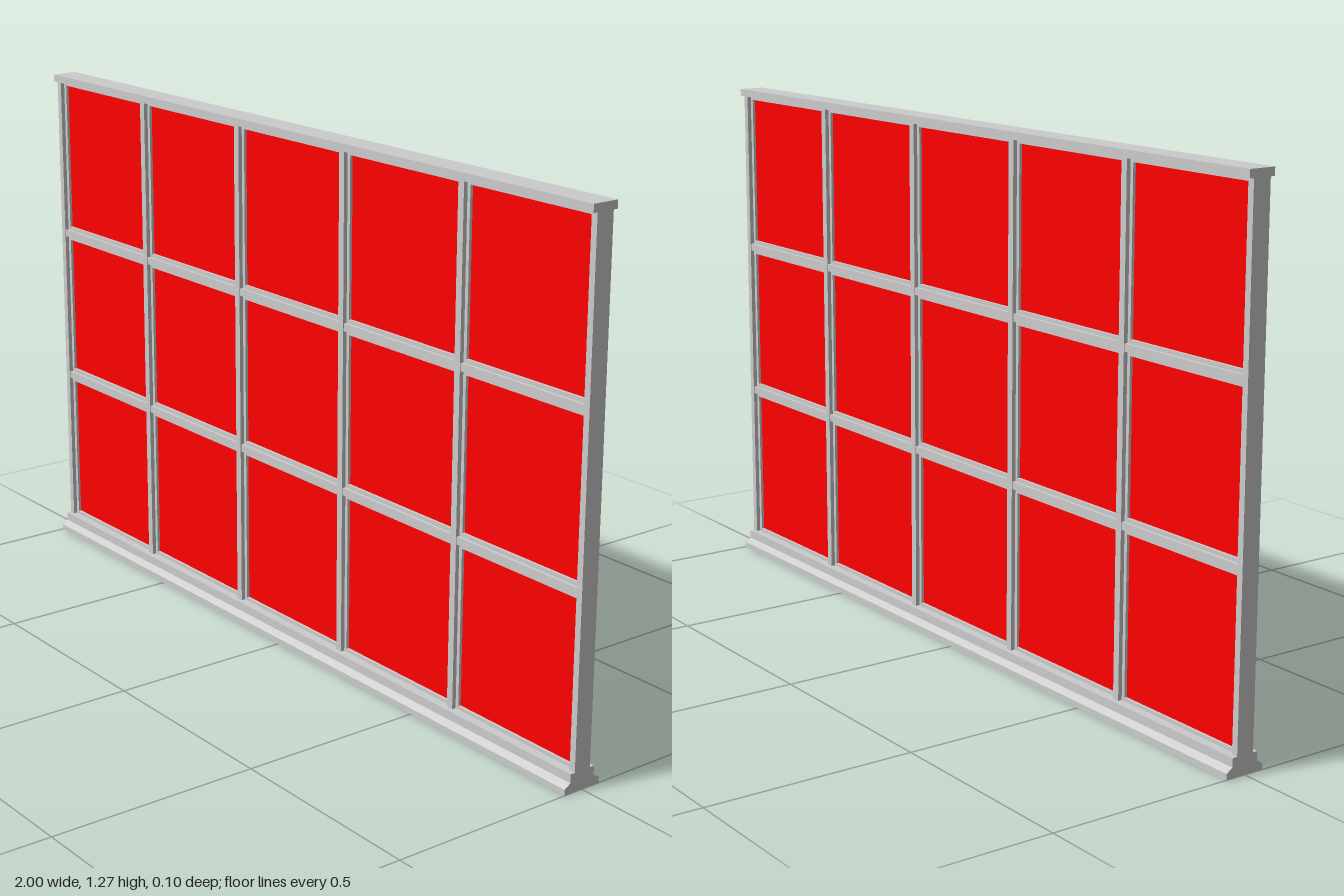
import * as THREE from 'three';

const grey = new THREE.MeshStandardMaterial({ color: 0xcccccc, flatShading: true });
const red = new THREE.MeshStandardMaterial({ color: 0xff0000, flatShading: true });

// Extrudes a closed profile and centres it along its length
function bar(name, points, length) {
  const shape = new THREE.Shape(points.map(([a, b]) => new THREE.Vector2(a, b)));
  const geo = new THREE.ExtrudeGeometry(shape, { depth: length, bevelEnabled: false });
  geo.translate(0, 0, -length / 2);
  const mesh = new THREE.Mesh(geo, grey);
  mesh.name = name;
  return mesh;
}

// Mirrors a half profile of [depth, height] points, listed from bottom to top
const mirrored = (half) => [...half, ...half.map(([d, h]) => [-d, h]).reverse()];

// Stepped glazing bar: wide glazing rebate with a narrow raised rib on both faces
const steppedBar = (wide, rib, depth) => mirrored([
  [0.012, -wide], [0.012, -rib], [depth, -rib],
  [depth, rib], [0.012, rib], [0.012, wide],
]);

export function createModel() {
  const model = new THREE.Group();
  model.name = 'panelledScreen';

  const columns = [-0.6, -0.2, 0.2, 0.6];
  const rows = [0.447, 0.842];
  const bottom = 0.035, top = 1.25;

  // Lengthwise rails: the profile's depth axis lies along z
  const addRail = (name, profile, y) => {
    const rail = bar(name, profile, 2);
    rail.rotation.y = Math.PI / 2;
    rail.position.y = y;
    model.add(rail);
    return rail;
  };

  // Sill with a sloped foot, and a flat cap with a bead below it
  addRail('bottomRail', mirrored([
    [0.05, 0], [0.05, 0.014], [0.034, 0.024], [0.034, 0.045],
    [0.012, 0.045], [0.012, 0.053],
  ]), 0);
  addRail('topRail', mirrored([
    [0.012, 1.238], [0.012, 1.246], [0.033, 1.248], [0.033, 1.266],
  ]), 0);

  // Horizontal glazing bars
  for (const y of rows) {
    const rail = addRail('horizontalBar', steppedBar(0.018, 0.009, 0.02), y);
    rail.scale.z = 0.985;
  }

  // Vertical glazing bars
  for (const x of columns) {
    const post = bar('verticalBar', steppedBar(0.018, 0.009, 0.022), top - bottom);
    post.rotation.set(-Math.PI / 2, 0, Math.PI / 2);
    post.position.set(x, (top + bottom) / 2, 0);
    model.add(post);
  }

  // End posts with an inward rebate
  for (const side of [-1, 1]) {
    const post = new THREE.Group();
    post.name = side > 0 ? 'leftEndPost' : 'rightEndPost';
    const h = top - bottom;
    const body = new THREE.Mesh(new THREE.BoxGeometry(0.016, h, 0.044), grey);
    body.position.x = side * 0.992;
    body.name = 'postBody';
    const rebate = new THREE.Mesh(new THREE.BoxGeometry(0.01, h, 0.024), grey);
    rebate.position.x = side * 0.979;
    rebate.name = 'postRebate';
    post.add(body, rebate);
    post.position.y = (top + bottom) / 2;
    model.add(post);
  }

  // Infill panels, one per opening
  const xs = [-0.985, ...columns, 0.985];
  const ys = [0.045, ...rows, 1.245];
  for (let i = 0; i < xs.length - 1; i++) {
    for (let j = 0; j < ys.length - 1; j++) {
      const geo = new THREE.BoxGeometry(xs[i + 1] - xs[i], ys[j + 1] - ys[j], 0.01);
      const panel = new THREE.Mesh(geo, red);
      panel.name = 'panel';
      panel.position.set((xs[i] + xs[i + 1]) / 2, (ys[j] + ys[j + 1]) / 2, 0);
      model.add(panel);
    }
  }
  return model;
}
